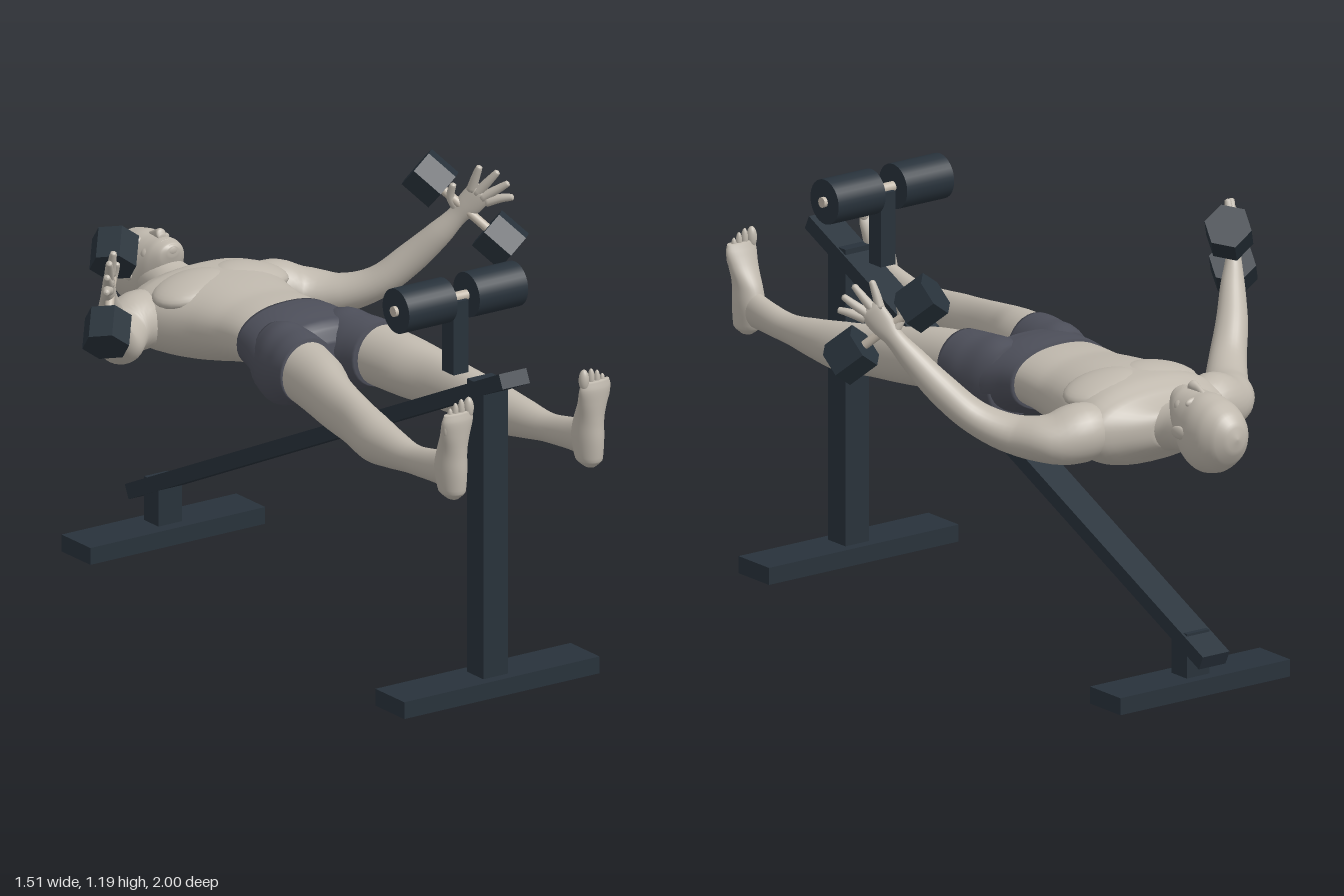
import * as THREE from 'three';

const V = (x, y, z) => new THREE.Vector3(x, y, z);
const mat = (name, color) => Object.assign(new THREE.MeshStandardMaterial({ color }), { name });

// Smooth skin over elliptical sections [x, y, z, ru, rv]; axis fixes the section plane's normal.
function loft(rows, { axis = null, ref = V(0, 1, 0), n = 28, sub = 5, exp = 2 } = {}) {
  const path = new THREE.CatmullRomCurve3(rows.map(r => V(r[0], r[1], r[2])));
  const size = new THREE.CatmullRomCurve3(rows.map(r => V(r[3], r[4], 0)));
  const steps = (rows.length - 1) * sub, pos = [], idx = [];
  for (let i = 0; i <= steps; i++) {
    const p = path.getPoint(i / steps), r = size.getPoint(i / steps);
    const t = axis ?? path.getTangent(i / steps);
    const u = ref.clone().cross(t).normalize(), v = t.clone().cross(u).normalize();
    for (let j = 0; j < n; j++) {
      const a = j / n * Math.PI * 2, c = Math.cos(a), s = Math.sin(a);
      const q = p.clone()
        .addScaledVector(u, Math.sign(c) * Math.abs(c) ** (2 / exp) * r.x)
        .addScaledVector(v, Math.sign(s) * Math.abs(s) ** (2 / exp) * r.y);
      pos.push(q.x, q.y, q.z);
      if (i < steps) {
        const a0 = i * n + j, b0 = i * n + (j + 1) % n;
        idx.push(a0, b0, a0 + n, b0, b0 + n, a0 + n);
      }
    }
  }
  const c0 = (steps + 1) * n, last = steps * n;
  for (const t of [0, 1]) pos.push(...path.getPoint(t).toArray());
  for (let j = 0; j < n; j++) {
    const k = (j + 1) % n;
    idx.push(c0, k, j, c0 + 1, last + j, last + k);
  }
  const g = new THREE.BufferGeometry();
  g.setAttribute('position', new THREE.Float32BufferAttribute(pos, 3));
  g.setIndex(idx);
  g.computeVertexNormals();
  return g;
}

export function createModel() {
  const root = new THREE.Group();
  root.name = 'benchExercise';
  const skin = mat('skin', 0xbfb8ad), cloth = mat('shorts', 0x4d4f5a);
  const dark = mat('darkSteel', 0x28323b), metal = mat('barMetal', 0xc2b8aa);
  const add = (name, geo, m, x = 0, y = 0, z = 0) => {
    const o = new THREE.Mesh(geo, m);
    o.name = name;
    o.position.set(x, y, z);
    root.add(o);
    return o;
  };
  const box = (name, w, h, d, y, z) => add(name, new THREE.BoxGeometry(w, h, d), dark, 0, y, z);
  const blob = (name, x, y, z, rx, ry, rz) => {
    const o = add(name, new THREE.SphereGeometry(1, 24, 16), skin, x, y, z);
    o.scale.set(rx, ry, rz);
    return o;
  };
  // Cylinder running between two points
  const rod = (name, a, b, r, m, sides = 24) => {
    let g = new THREE.CylinderGeometry(r, r, a.distanceTo(b), sides);
    if (sides < 8) { g = g.toNonIndexed(); g.computeVertexNormals(); }
    const o = add(name, g, m);
    o.position.copy(a).lerp(b, 0.5);
    o.quaternion.setFromUnitVectors(V(0, 1, 0), b.clone().sub(a).normalize());
    return o;
  };
  const toFeet = V(0, 0, 1), toHead = V(0, 0, -1), up = V(0, 1, 0);

  // Bench frame
  box('frontBase', 0.67, 0.05, 0.14, 0.025, 0.79);
  box('frontPost', 0.084, 0.87, 0.08, 0.485, 0.79);
  box('rearBase', 0.6, 0.05, 0.14, 0.025, -0.78);
  box('rearPost', 0.08, 0.13, 0.07, 0.115, -0.782);
  box('inclinedBeam', 0.094, 0.044, 2.0, 0.537, 0.015).rotation.x = -Math.atan2(0.845, 1.81);
  box('rollerPost', 0.052, 0.215, 0.055, 1.008, 0.635);
  rod('rollerBar', V(-0.215, 1.12, 0.635), V(0.215, 1.12, 0.635), 0.015, metal);

  // Torso, neck and head
  add('torso', loft([
    [0, 0.778, -0.15, 0.165, 0.088], [0, 0.777, -0.22, 0.164, 0.092], [0, 0.768, -0.3, 0.166, 0.1],
    [0, 0.76, -0.4, 0.188, 0.117], [0, 0.752, -0.5, 0.225, 0.126], [0, 0.748, -0.59, 0.25, 0.124],
    [0, 0.748, -0.645, 0.235, 0.1], [0, 0.75, -0.685, 0.16, 0.075], [0, 0.757, -0.725, 0.075, 0.055],
  ], { axis: toHead, exp: 2.25, n: 40 }), skin);
  add('neck', loft([
    [0, 0.75, -0.62, 0.13, 0.08], [0, 0.753, -0.69, 0.094, 0.07],
    [0, 0.765, -0.75, 0.074, 0.068], [0, 0.775, -0.83, 0.07, 0.07],
  ], { axis: toHead }), skin);
  add('head', loft([
    [0, 0.863, -0.732, 0.018, 0.014], [0, 0.85, -0.742, 0.042, 0.036], [0, 0.818, -0.775, 0.065, 0.074],
    [0, 0.784, -0.82, 0.078, 0.106], [0, 0.777, -0.87, 0.086, 0.114], [0, 0.777, -0.92, 0.083, 0.104],
    [0, 0.782, -0.965, 0.064, 0.076], [0, 0.787, -0.99, 0.036, 0.042], [0, 0.788, -1.0, 0.004, 0.004],
  ], { axis: toHead, exp: 2.1, n: 36 }), skin);
  add('nose', loft([
    [0, 0.88, -0.85, 0.008, 0.008], [0, 0.892, -0.815, 0.01, 0.014],
    [0, 0.898, -0.793, 0.016, 0.015], [0, 0.886, -0.783, 0.013, 0.011],
  ], { axis: toFeet }), skin);
  blob('upperLip', 0, 0.883, -0.766, 0.024, 0.008, 0.006);
  blob('lowerLip', 0, 0.881, -0.756, 0.02, 0.008, 0.006);
  blob('mouthMound', 0, 0.868, -0.763, 0.034, 0.015, 0.022);
  blob('chin', 0, 0.866, -0.742, 0.024, 0.018, 0.012);

  // Pelvis of the shorts
  add('shortsPelvis', loft([
    [0, 0.778, -0.185, 0.17, 0.096], [0, 0.771, -0.13, 0.18, 0.104], [0, 0.752, -0.06, 0.197, 0.117],
    [0, 0.75, -0.02, 0.199, 0.113], [0, 0.755, 0.005, 0.18, 0.09], [0, 0.755, 0.025, 0.12, 0.05],
  ], { axis: toFeet, exp: 2.25, n: 40 }), cloth);

  for (const s of [-1, 1]) {
    const side = s > 0 ? 'left' : 'right';
    const flip = rows => rows.map(([x, ...rest]) => [x * s, ...rest]);
    const P = (x, y, z) => V(x * s, y, z);

    rod(side + 'Roller', P(0.038, 1.12, 0.635), P(0.204, 1.12, 0.635), 0.065, dark, 32);

    // Face and chest details
    blob(side + 'Eye', s * 0.033, 0.866, -0.82, 0.015, 0.01, 0.007);
    blob(side + 'Brow', s * 0.034, 0.866, -0.843, 0.03, 0.015, 0.011);
    blob(side + 'Cheek', s * 0.038, 0.844, -0.795, 0.026, 0.024, 0.024);
    blob(side + 'Ear', s * 0.083, 0.785, -0.838, 0.008, 0.019, 0.029).rotation.y = s * 0.2;
    blob(side + 'Pectoral', s * 0.1, 0.839, -0.505, 0.12, 0.038, 0.095).rotation.z = -s * 0.18;

    // Legs
    add(side + 'ShortsLeg', loft(flip([
      [0.1, 0.752, -0.1, 0.085, 0.106], [0.106, 0.752, -0.04, 0.097, 0.121], [0.11, 0.757, 0.01, 0.1, 0.113],
      [0.118, 0.767, 0.05, 0.098, 0.102], [0.124, 0.772, 0.1, 0.094, 0.094],
    ]), { axis: toFeet }), cloth);
    add(side + 'Leg', loft(flip([
      [0.122, 0.771, 0.06, 0.088, 0.09], [0.147, 0.76, 0.2, 0.079, 0.089], [0.173, 0.748, 0.3, 0.064, 0.083],
      [0.193, 0.735, 0.42, 0.056, 0.076], [0.212, 0.721, 0.54, 0.06, 0.072], [0.224, 0.72, 0.65, 0.05, 0.057],
      [0.232, 0.723, 0.77, 0.036, 0.043], [0.235, 0.734, 0.86, 0.035, 0.047], [0.235, 0.745, 0.94, 0.034, 0.056],
    ]), { axis: toFeet }), skin);

    // Feet and toes
    add(side + 'Foot', loft(flip([
      [0.235, 0.664, 0.953, 0.015, 0.02], [0.235, 0.685, 0.95, 0.036, 0.044], [0.235, 0.75, 0.944, 0.042, 0.055],
      [0.235, 0.805, 0.95, 0.041, 0.047], [0.236, 0.86, 0.967, 0.047, 0.031], [0.236, 0.9, 0.977, 0.052, 0.021],
      [0.236, 0.925, 0.98, 0.046, 0.012],
    ]), { axis: up, ref: toHead }), skin);
    for (let i = 0; i < 5; i++) {
      const x = [0.198, 0.223, 0.243, 0.261, 0.277][i], tip = [0.958, 0.957, 0.949, 0.936, 0.92][i];
      const r = i ? 0.0105 - i * 0.0005 : 0.015;
      blob(side + 'Toe' + (i + 1), s * x, tip - 0.027, 0.978, r, 0.032, r);
    }

    // Arm flowing into the palm
    const grip = P(0.51, -0.63, 0.585);
    add(side + 'Arm', loft(flip([
      [0.12, 0.752, -0.575, 0.05, 0.06], [0.23, 0.75, -0.578, 0.085, 0.085], [0.308, 0.738, -0.545, 0.08, 0.07],
      [0.375, 0.742, -0.458, 0.064, 0.056], [0.445, 0.784, -0.373, 0.054, 0.047], [0.512, 0.862, -0.305, 0.046, 0.045],
      [0.565, 0.945, -0.24, 0.035, 0.037], [0.6, 1.005, -0.198, 0.023, 0.029], [0.62, 1.042, -0.17, 0.019, 0.037],
      [0.638, 1.078, -0.145, 0.015, 0.038], [0.644, 1.088, -0.138, 0.006, 0.026],
    ]), { ref: grip }), skin);

    // Fingers fan out from the palm
    const fingers = {
      Thumb: [0.6, 1.02, -0.198, 0.578, 1.06, -0.205, 0.577, 1.1, -0.19],
      Index: [0.62, 1.083, -0.163, 0.624, 1.125, -0.148, 0.628, 1.158, -0.135],
      Middle: [0.63, 1.074, -0.152, 0.65, 1.112, -0.125, 0.666, 1.144, -0.102],
      Ring: [0.64, 1.063, -0.14, 0.668, 1.09, -0.108, 0.688, 1.112, -0.082],
      Little: [0.648, 1.052, -0.13, 0.677, 1.066, -0.098, 0.697, 1.072, -0.072],
    };
    for (const [f, [a, b, c, d, e, g, h, i, j]] of Object.entries(fingers))
      add(side + f, loft(flip([
        [a, b, c, 0.015, 0.015], [d, e, g, 0.0125, 0.0125], [h, i, j, 0.009, 0.009],
        [h + (h - d) * 0.12, i + (i - e) * 0.12, j + (j - g) * 0.12, 0.001, 0.001],
      ]), { n: 12, ref: grip }), skin);

    // Dumbbell with hexagonal heads
    const inner = P(0.542, 1.108, -0.253), outer = P(0.675, 0.943, -0.1);
    const half = outer.clone().sub(inner).setLength(0.05);
    rod(side + 'DumbbellHandle', inner, outer, 0.013, metal);
    for (const [k, c] of [['Inner', inner], ['Outer', outer]])
      rod(side + 'Dumbbell' + k + 'Head', c.clone().sub(half), c.clone().add(half), 0.068, dark, 6);
  }
  return root;
}
